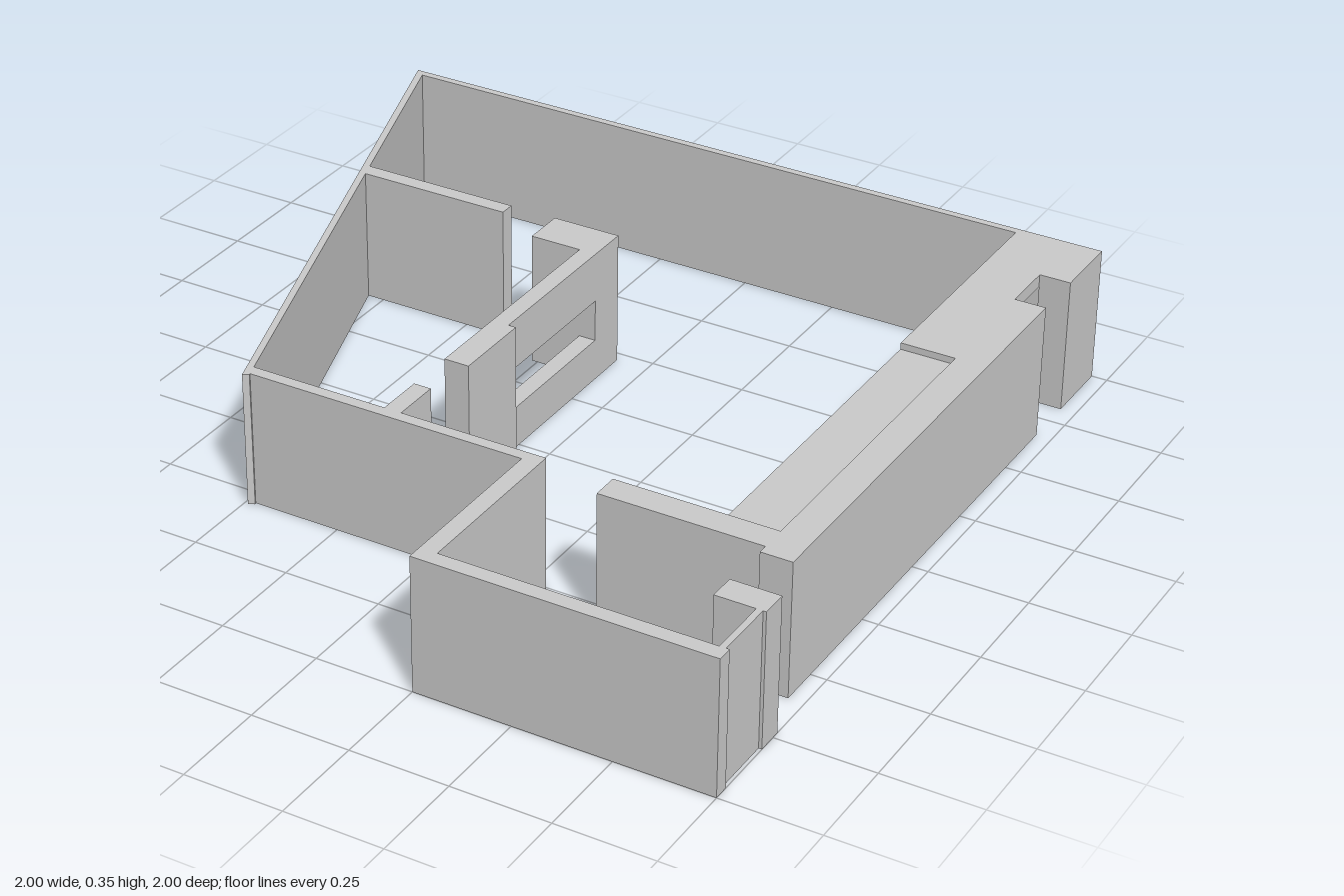
import * as THREE from 'three';

const H = 0.35;
const material = new THREE.MeshStandardMaterial({ color: 0xcccccc, flatShading: true });

// Extrudes a floor-plan outline of [x, z] points from y0 up to y1
function plan(name, points, y0 = 0, y1 = H) {
  const shape = new THREE.Shape(points.map(([x, z]) => new THREE.Vector2(x, -z)));
  const geometry = new THREE.ExtrudeGeometry(shape, { depth: y1 - y0, bevelEnabled: false });
  geometry.rotateX(-Math.PI / 2).translate(0, y0, 0);
  const mesh = new THREE.Mesh(geometry, material);
  mesh.name = name;
  return mesh;
}

// Rectangular piece between two x, two z and two y limits
function block(name, x0, x1, z0, z1, y0 = 0, y1 = H) {
  const geometry = new THREE.BoxGeometry(x1 - x0, y1 - y0, z1 - z0);
  geometry.translate((x0 + x1) / 2, (y0 + y1) / 2, (z0 + z1) / 2);
  const mesh = new THREE.Mesh(geometry, material);
  mesh.name = name;
  return mesh;
}

export function createModel() {
  const model = new THREE.Group();
  model.name = 'apartmentWalls';

  // Outer walls
  model.add(
    plan('slantedWall', [[-1, -1], [-0.981, -1], [-0.475, 0.545], [-0.49, 0.553]]),
    block('backWall', -0.99, 0.88, -1, -0.98),
    block('backCornerPier', 0.88, 0.96, -1, -0.815),
    block('longSideWall', 0.88, 0.96, -0.675, 0.605),
    plan('steppedFrontWall', [
      [-0.49, 0.51], [0.295, 0.51], [0.295, 0.96], [1, 0.96],
      [1, 1], [0.25, 1], [0.25, 0.54], [-0.48, 0.54],
    ]),
    block('entryPier', 0.875, 1, 0.73, 0.8),
    block('entryThinWall', 0.976, 0.992, 0.8, 0.96),
  );

  // Ceiling strips along the long side, with the walls carrying them
  model.add(
    block('upperCeilingStrip', 0.74, 0.88, -0.98, -0.35, 0.317, H),
    block('lowerCeilingStrip', 0.74, 0.88, -0.35, 0.51, 0.297, 0.333),
    block('stripSupportWall', 0.74, 0.88, -0.4, -0.35, 0, 0.317),
    block('hallWall', 0.465, 0.88, 0.51, 0.58),
  );

  // Inner partition with a serving opening between pier and end post
  const partition = new THREE.Group();
  partition.name = 'partition';
  partition.add(
    block('partitionPier', -0.265, -0.085, -0.47, -0.36),
    block('partitionSill', -0.13, -0.085, -0.36, 0.045, 0, 0.11),
    block('partitionLintel', -0.13, -0.085, -0.36, 0.045, 0.22, H),
    block('partitionEndPost', -0.13, -0.065, 0.045, 0.255),
  );
  model.add(
    partition,
    block('partitionStub', -0.13, -0.085, 0.385, 0.51),
    block('roomDivider', -0.81, -0.39, -0.47, -0.43),
  );

  return model;
}
